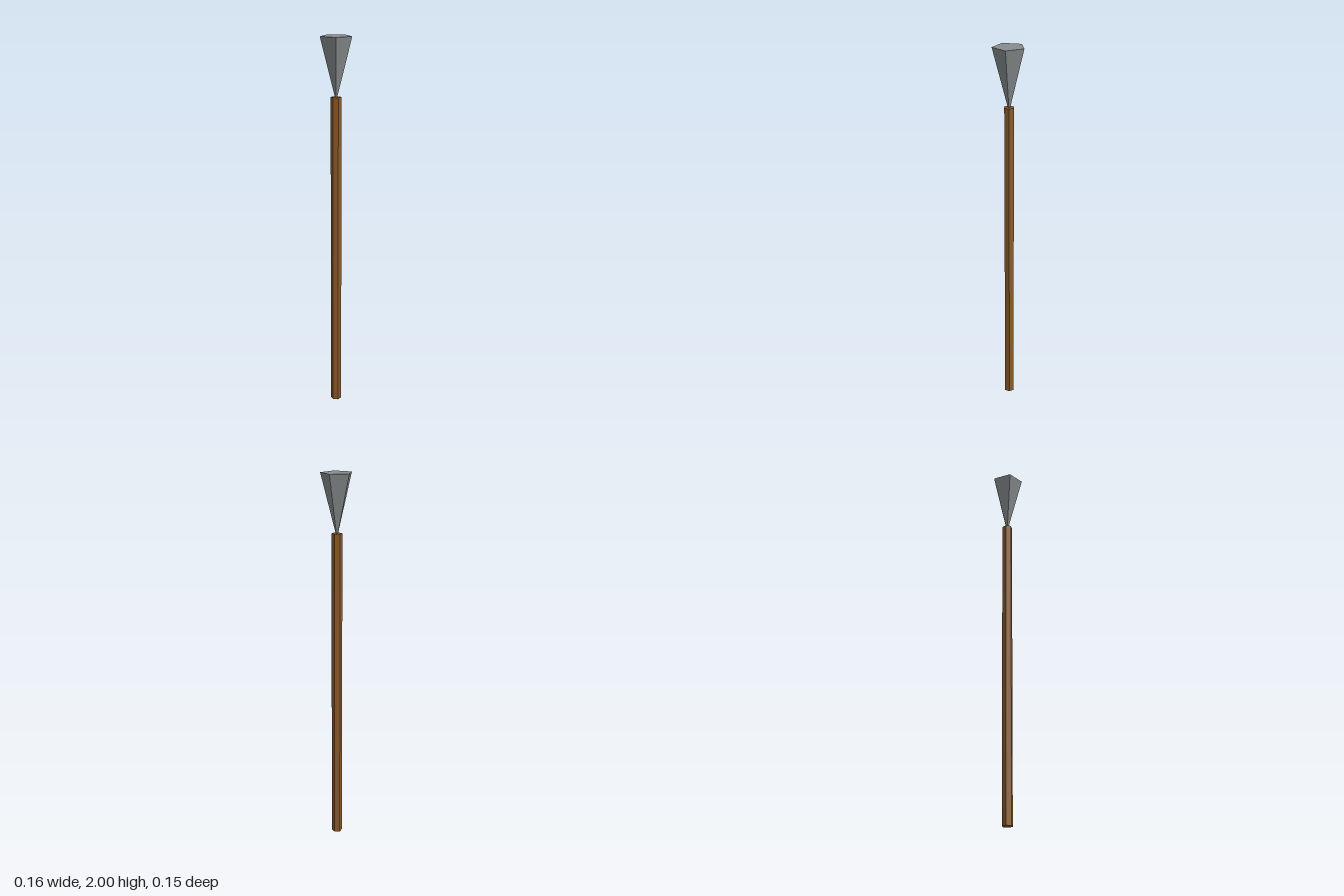
import * as THREE from 'three';

export function createModel() {
  const model = new THREE.Group();
  const axisZ = 0.007; // the pentagon's axis sits slightly forward of centre

  // Adds a faceted solid of revolution standing between two heights
  function addPrism(name, topRadius, bottomRadius, y0, y1, sides, turn, color) {
    const geometry = new THREE.CylinderGeometry(topRadius, bottomRadius, y1 - y0, sides);
    const material = new THREE.MeshStandardMaterial({ color, flatShading: true });
    const mesh = new THREE.Mesh(geometry, material);
    mesh.name = name;
    mesh.rotation.y = turn;
    mesh.position.set(0, (y0 + y1) / 2, axisZ);
    model.add(mesh);
  }

  // Hexagonal wooden handle
  addPrism('shaft', 0.028, 0.028, 0, 1.695, 6, 0, 0x8b5a2b);

  // Five-sided head, flaring upwards from a point sunk in the handle
  addPrism('head', 0.085, 0, 1.67, 2, 5, Math.PI, 0x888c8c);

  return model;
}
